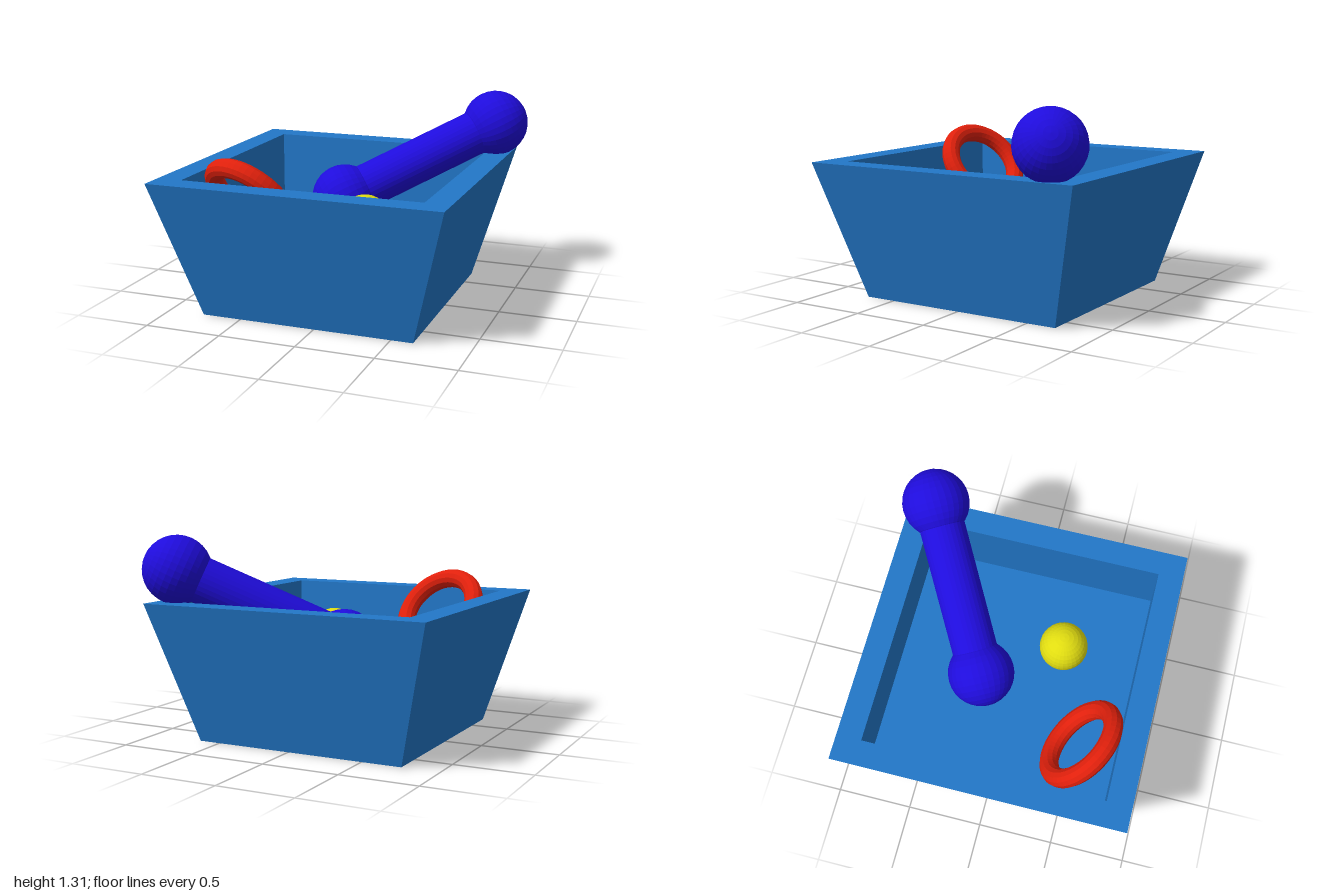
import * as THREE from 'three';

const paint = (color) => new THREE.MeshStandardMaterial({ color, flatShading: true });

function part(name, geometry, material, position = [0, 0, 0]) {
  const flat = geometry.index ? geometry.toNonIndexed() : geometry;
  flat.computeVertexNormals();
  const mesh = new THREE.Mesh(flat, material);
  mesh.name = name;
  mesh.position.set(...position);
  return mesh;
}

// Square tub: half-widths of the outside, rim, cavity wall and floor turned in four steps
function makeBox() {
  const profile = [[0, 0], [0.7, 0], [0.942, 0.895], [0.78, 0.895], [0.78, 0.45], [0, 0.45]]
    .map(([half, y]) => new THREE.Vector2(half * Math.SQRT2, y));
  const geometry = new THREE.LatheGeometry(profile, 4, Math.PI / 4);
  return part('toyBox', geometry, paint(0x2277c8), [-0.058, 0, 0.005]);
}

// Bar with a ball at each end, laid along the line between the two ball centres
function makeDumbbell() {
  const low = new THREE.Vector3(-0.135, 0.617, -0.2);
  const high = new THREE.Vector3(0.77, 1.093, -0.73);
  const axis = high.clone().sub(low);
  const length = axis.length();
  const blue = paint(0x1f0cdc);

  const group = new THREE.Group();
  group.name = 'dumbbell';
  group.position.copy(low).add(high).multiplyScalar(0.5);
  group.quaternion.setFromUnitVectors(new THREE.Vector3(0, 1, 0), axis.normalize());
  group.add(part('bar', new THREE.CylinderGeometry(0.15, 0.15, length, 32), blue));
  for (const [name, side] of [['lowerBall', -1], ['upperBall', 1]]) {
    group.add(part(name, new THREE.SphereGeometry(0.22, 32, 16), blue, [0, side * length / 2, 0]));
  }
  return group;
}

// Ring leaning against the corner of the cavity
function makeRing() {
  const ring = part('ring', new THREE.TorusGeometry(0.263, 0.062, 12, 48), paint(0xe0200c), [-0.487, 0.766, 0.548]);
  const facing = new THREE.Vector3(0.244, 0.618, -0.747).normalize();
  ring.quaternion.setFromUnitVectors(new THREE.Vector3(0, 0, 1), facing);
  return ring;
}

export function createModel() {
  const model = new THREE.Group();
  model.name = 'boxOfToys';
  model.add(
    makeBox(),
    makeDumbbell(),
    makeRing(),
    part('smallBall', new THREE.SphereGeometry(0.16, 32, 16), paint(0xe0dc10), [0.185, 0.612, 0.285]),
  );
  return model;
}
